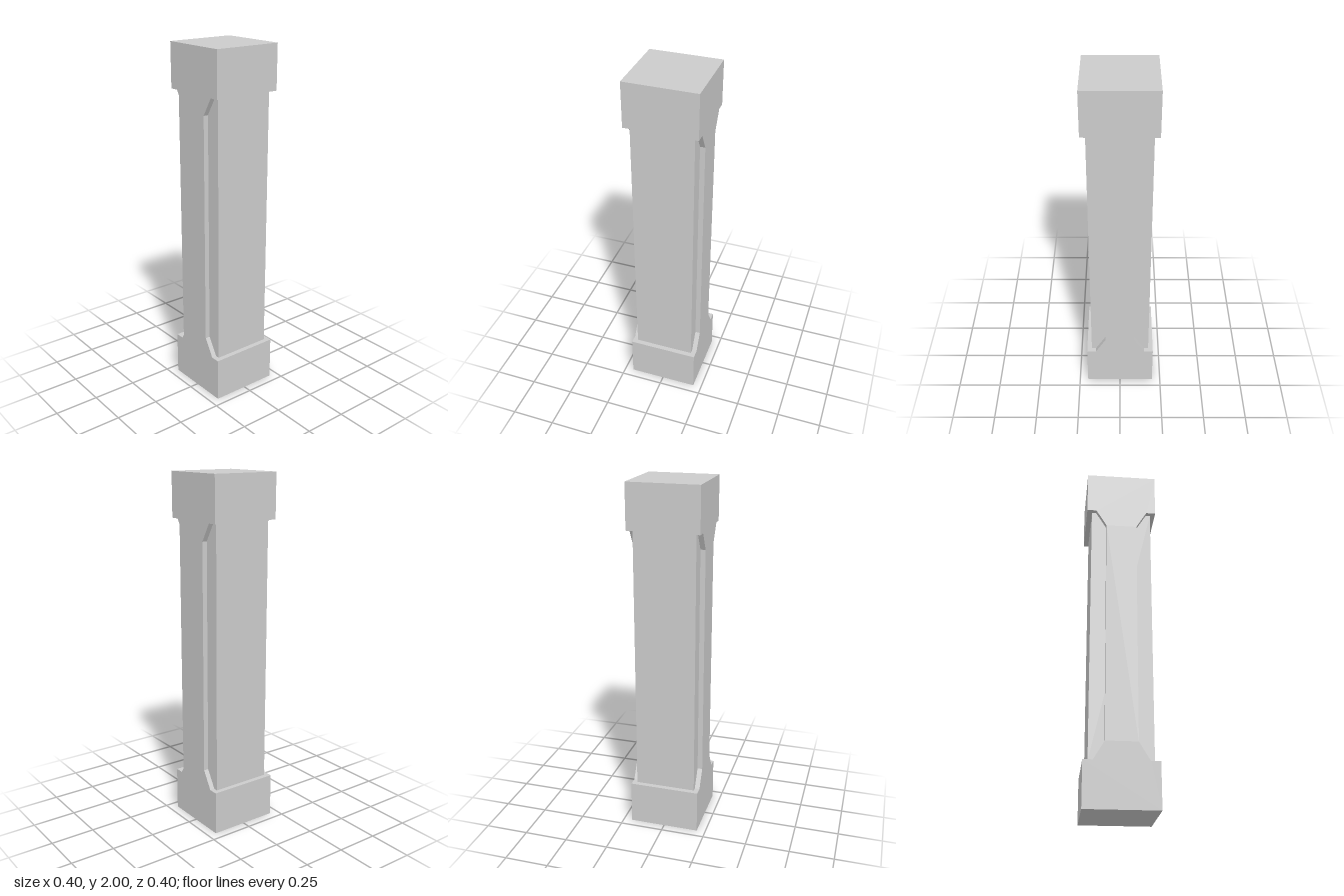
import * as THREE from 'three';

export function createModel() {
  const group = new THREE.Group();
  group.name = 'pillar';
  const material = new THREE.MeshStandardMaterial({ color: 0xcccccc, flatShading: true });

  const half = 0.2;         // half width of the end blocks
  const shaftHalf = 0.172;  // half width of the recessed shaft
  const blockHeight = 0.25;

  // Base, capital and raised front/back strips share one flared outline
  const rightEdge = [
    [half, 0], [half, blockHeight], [0.147, blockHeight], [0.087, 0.35],
    [0.087, 1.65], [0.147, 2 - blockHeight], [half, 2 - blockHeight], [half, 2],
  ];
  const leftEdge = rightEdge.map(([x, y]) => [-x, y]).reverse();
  const outline = new THREE.Shape([...rightEdge, ...leftEdge].map(([x, y]) => new THREE.Vector2(x, y)));
  const frameGeometry = new THREE.ExtrudeGeometry(outline, { depth: 2 * half, bevelEnabled: false });
  frameGeometry.translate(0, 0, -half);
  const frame = new THREE.Mesh(frameGeometry, material);
  frame.name = 'baseCapitalAndStrips';
  group.add(frame);

  // Square shaft between the end blocks
  const shaft = new THREE.Mesh(
    new THREE.BoxGeometry(2 * shaftHalf, 2 - 2 * blockHeight, 2 * shaftHalf), material);
  shaft.name = 'shaft';
  shaft.position.y = 1;
  group.add(shaft);

  return group;
}
